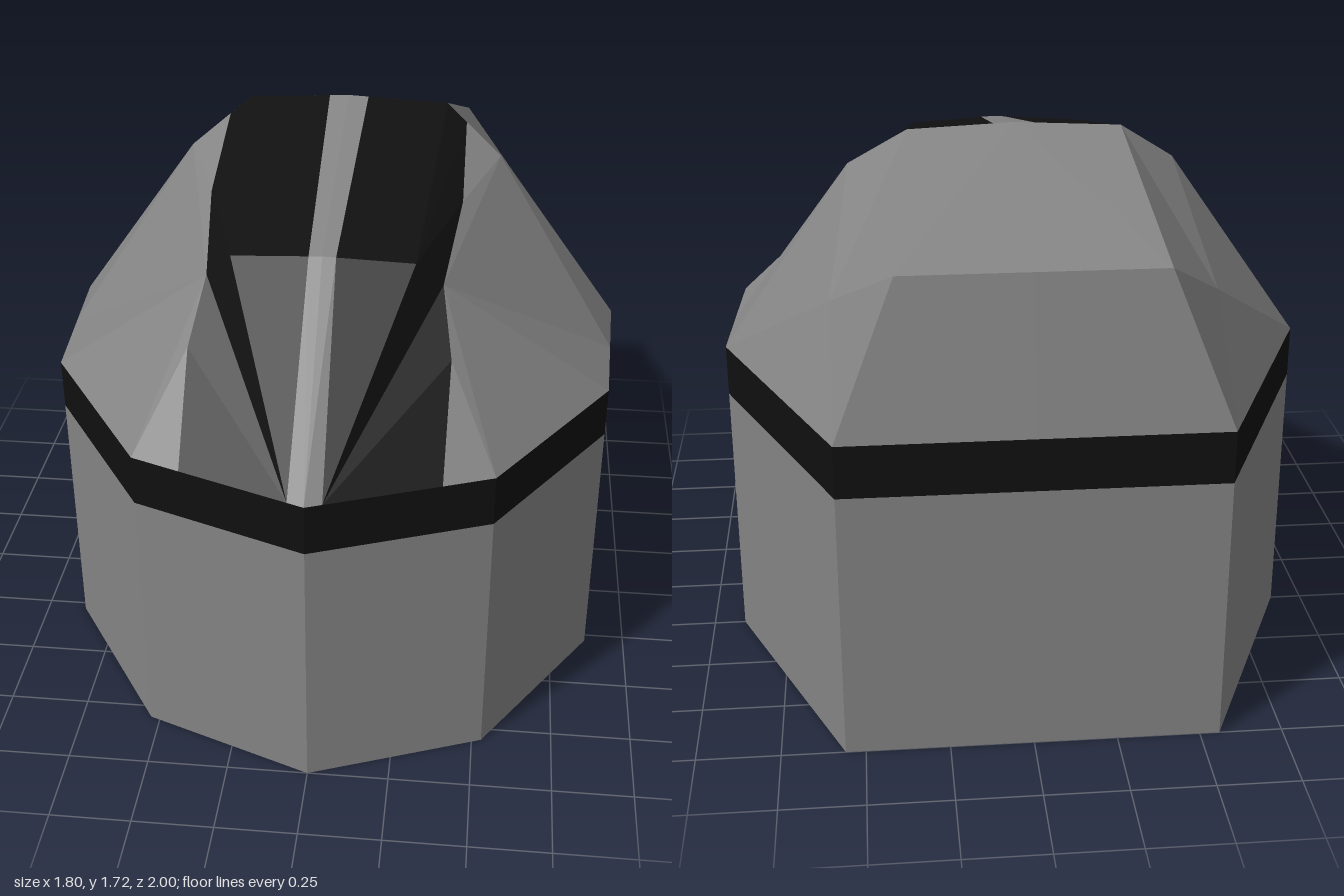
import * as THREE from 'three';

const grey = new THREE.MeshStandardMaterial({ color: 0x848484, side: THREE.DoubleSide, flatShading: true });
grey.name = 'grey shell';
const black = new THREE.MeshStandardMaterial({ color: 0x101010, side: THREE.DoubleSide, flatShading: true });
black.name = 'black trim';

const CENTRE = new THREE.Vector3(0, 0.8, 0);

// Mesh of flat polygons, each mirrored to both sides and wound outward
function panels(name, material, polygons) {
  const positions = [];
  for (const poly of polygons) {
    for (const side of [1, -1]) {
      const pts = poly.map(([x, y, z]) => new THREE.Vector3(x * side, y, z));
      for (let i = 1; i < pts.length - 1; i++) {
        const a = pts[0];
        let b = pts[i], c = pts[i + 1];
        const normal = b.clone().sub(a).cross(c.clone().sub(a));
        const middle = a.clone().add(b).add(c).divideScalar(3).sub(CENTRE);
        if (normal.dot(middle) < 0) [b, c] = [c, b];
        for (const p of [a, b, c]) positions.push(p.x, p.y, p.z);
      }
    }
  }
  const geometry = new THREE.BufferGeometry();
  geometry.setAttribute('position', new THREE.Float32BufferAttribute(positions, 3));
  geometry.computeVertexNormals();
  const mesh = new THREE.Mesh(geometry, material);
  mesh.name = name;
  return mesh;
}

// Half outline in plan, front to back
const outline = [[0, 1], [0.53, 0.8], [0.87, 0.28], [0.9, -0.25], [0.56, -1], [0, -1]];

// Upright wall between two heights following the outline
function wall(name, material, y0, y1) {
  const quads = [];
  for (let i = 0; i < outline.length - 1; i++) {
    const [ax, az] = outline[i], [bx, bz] = outline[i + 1];
    quads.push([[ax, y0, az], [bx, y0, bz], [bx, y1, bz], [ax, y1, az]]);
  }
  return panels(name, material, quads);
}

export function createModel() {
  const model = new THREE.Group();
  model.name = 'helmet';

  model.add(wall('lowerWall', grey, 0, 0.84));
  model.add(wall('band', black, 0.84, 1));

  // Rim corners of the dome
  const [r0, r1, r2, r3, r4, r5] = outline.map(([x, z]) => [x, 1, z]);
  const rimSide = [0.886, 1, 0];
  // Crown corners
  const brow0 = [0, 1.53, 0.5], brow = [0.27, 1.515, 0.49];
  const peak0 = [0, 1.715, -0.31], peak = [0.32, 1.7, -0.31];
  const rear0 = [0, 1.455, -0.91], rear = [0.38, 1.455, -0.91];
  // Shoulder corners
  const temple = [0.35, 1.43, 0.45], side = [0.5, 1.57, -0.2], rearSide = [0.56, 1.3, -0.67];
  // Stripe edges
  const in0 = [0.05, 1, 0.981], in1 = [0.04, 1.528, 0.499], in2 = [0.063, 1.712, -0.31];
  const out0 = [0.38, 1, 0.857], out1 = [0.385, 1.27, 0.61];
  const out2 = [0.39, 1.54, 0.1], out3 = [0.385, 1.653, -0.27];

  const dome = new THREE.Group();
  dome.name = 'dome';
  dome.add(
    panels('centreStrip', grey, [
      [r0, in0, in1, brow0],
      [brow0, in1, in2, peak0],
    ]),
    panels('stripes', black, [
      [in0, out0, out1, temple, brow, in1],
      [in1, brow, peak, in2],
      [brow, temple, out2],
      [brow, out2, out3, peak],
    ]),
    panels('domeFront', grey, [
      [out0, r1, out1],
      [r1, temple, out1],
      [r1, r2, temple],
    ]),
    panels('domeSide', grey, [
      [temple, side, out2],
      [out2, side, out3],
      [temple, r2, rimSide],
      [temple, rimSide, side],
      [side, rimSide, r3],
      [side, r3, rearSide],
      [rearSide, r3, r4],
    ]),
    panels('domeBack', grey, [
      [peak0, peak, rear, rear0],
      [peak, side, rearSide, rear],
      [rear, rearSide, r4],
      [rear0, rear, r4, r5],
    ]),
  );
  model.add(dome);
  return model;
}
